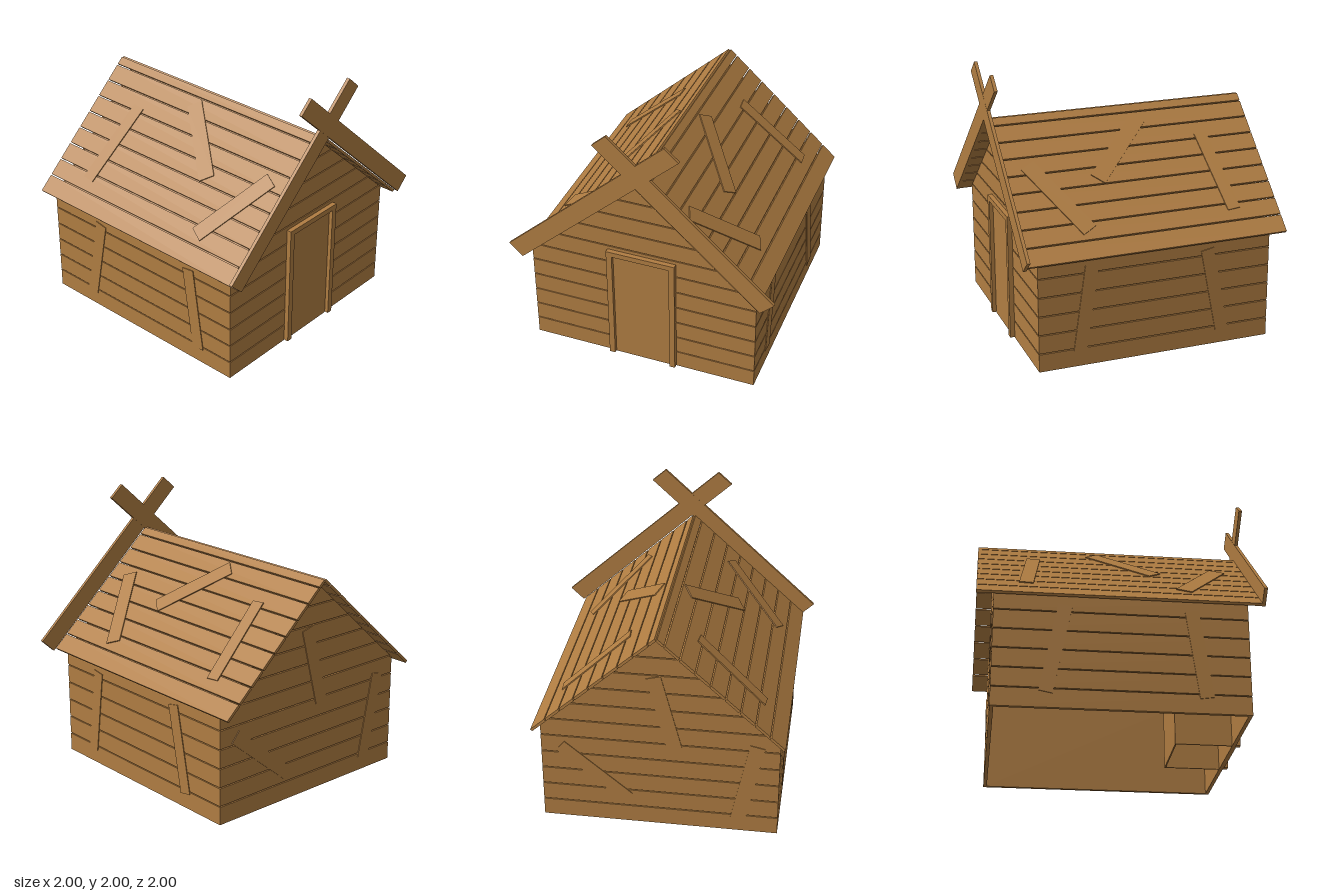
import * as THREE from 'three';

const wood = new THREE.MeshStandardMaterial({ color: 0xb07d42, side: THREE.DoubleSide });
wood.name = 'wood';

const SLOPE = 0.9056;              // roof rise per unit of run
const ANGLE = Math.atan(SLOPE);
const HALF = 0.86;                 // half width of the walls
const DEPTH = 0.88;                // half depth of the walls
const SKIN = 0.015;                // thickness of the wall planks
const ROW = 0.1413;                // height of one wall plank
const GAP = 0.008;

function add(parent, name, geometry, x = 0, y = 0, z = 0) {
  const mesh = new THREE.Mesh(geometry, wood);
  mesh.name = name;
  mesh.position.set(x, y, z);
  parent.add(mesh);
  return mesh;
}

// Box given by its lower and upper corner
function block(parent, name, a, b) {
  const size = b.map((v, i) => v - a[i]);
  const mid = b.map((v, i) => (v + a[i]) / 2);
  return add(parent, name, new THREE.BoxGeometry(...size), ...mid);
}

// Flat outline in x and y, thickened along z
function plate(parent, name, points, z, depth) {
  const shape = new THREE.Shape(points.map(p => new THREE.Vector2(...p)));
  return add(parent, name, new THREE.ExtrudeGeometry(shape, { depth, bevelEnabled: false }), 0, 0, z);
}

// Patch board nailed between two points of a face whose outside is local +z
function patch(parent, p, q, width, z) {
  const dx = q[0] - p[0], dy = q[1] - p[1];
  const geometry = new THREE.BoxGeometry(Math.hypot(dx, dy), width, 0.012);
  const mesh = add(parent, 'patchBoard', geometry, (p[0] + q[0]) / 2, (p[1] + q[1]) / 2, z);
  mesh.rotation.z = Math.atan2(dy, dx);
}

function faceGroup(parent, name, turn) {
  const group = new THREE.Group();
  group.name = name;
  group.rotation.y = turn;
  parent.add(group);
  return group;
}

function buildWalls(house) {
  const inner = HALF - SKIN, t = 0.012, apex = 1.6, eave = apex - inner * SLOPE;
  const outline = [[inner, 0], [inner, eave], [0, apex], [-inner, eave], [-inner, 0]];
  // Hollow shell, open underneath
  const inside = [[-inner + t, 0], [-inner + t, eave - 0.005], [0, apex - 0.017],
    [inner - t, eave - 0.005], [inner - t, 0]];
  plate(house, 'shell', [...outline, ...inside], -DEPTH + SKIN, 2 * (DEPTH - SKIN));
  for (const z of [-DEPTH + SKIN, DEPTH - SKIN - t]) plate(house, 'gableShell', outline, z, t);

  // Gable planks, front and back
  const halfAt = y => Math.max(0.002, Math.min(inner, (1.605 - y) / SLOPE));
  for (let y = 0; y < 1.6; y += ROW) {
    const top = Math.min(y + ROW - GAP, 1.603);
    const a = halfAt(y), b = halfAt(top);
    for (const z of [-DEPTH, DEPTH - SKIN])
      plate(house, 'gablePlank', [[-a, y], [a, y], [b, top], [-b, top]], z, SKIN);
  }

  // Side planks and their patch boards
  for (const side of [1, -1]) {
    const wall = faceGroup(house, side > 0 ? 'leftWall' : 'rightWall', side * Math.PI / 2);
    for (let i = 0; i < 6; i++)
      block(wall, 'sidePlank', [-DEPTH, i * ROW, inner],
        [DEPTH, Math.min((i + 1) * ROW - GAP, 0.828), HALF]);
    patch(wall, [-side * 0.485, 0.75], [-side * 0.575, 0.11], 0.1, HALF);
    patch(wall, [side * 0.39, 0.75], [side * 0.515, 0.11], 0.1, HALF);
  }

  // Patch boards of the back wall
  const back = faceGroup(house, 'backWall', Math.PI);
  patch(back, [-0.04, 1.25], [0.11, 0.67], 0.11, DEPTH);
  patch(back, [-0.72, 0.62], [-0.23, 0.21], 0.1, DEPTH);
  patch(back, [0.70, 0.74], [0.57, 0.1], 0.11, DEPTH);
}

function buildDoor(house) {
  const outer = 0.26, post = 0.217, top = 0.955, lintel = 0.915;
  block(house, 'door', [-post, 0, DEPTH - 0.01], [post, lintel, DEPTH + 0.006]);
  for (const s of [1, -1])
    block(house, 'doorPost', [Math.min(s * post, s * outer), 0.005, DEPTH - 0.01],
      [Math.max(s * post, s * outer), lintel, 0.915]);
  block(house, 'doorLintel', [-outer, lintel, DEPTH - 0.01], [outer, top, 0.915]);
  // Porch box behind the door, open underneath
  const z0 = 0.45, z1 = DEPTH - SKIN;
  for (const s of [1, -1]) {
    const x = s * (outer - 0.005);
    block(house, 'porchSide', [x - 0.005, 0, z0], [x + 0.005, lintel, z1]);
  }
  block(house, 'porchBack', [-outer, 0, z0 - 0.005], [outer, lintel, z0 + 0.005]);
  block(house, 'porchTop', [-outer, lintel - 0.01, z0], [outer, lintel, z1]);
}

function buildRoof(house) {
  const stretch = 1 / Math.cos(ANGLE);
  // Patch boards: run from the ridge and z at both ends
  const patches = [
    [[0.7275, -0.655], [0.24, -0.59], 0.1],
    [[0.102, -0.145], [0.45, 0.29], 0.12],
    [[0.74, 0.455], [0.32, 0.775], 0.12],
  ];
  for (const side of [1, -1]) {
    const half = faceGroup(house, side > 0 ? 'leftRoof' : 'rightRoof', side > 0 ? 0 : Math.PI);
    half.position.y = 1.635;
    const tilt = new THREE.Group();
    tilt.name = 'roofSlope';
    tilt.rotation.z = -ANGLE;
    half.add(tilt);
    // Planks run along the ridge
    for (let i = 0; i < 9; i++) {
      const from = (i === 0 ? 0.01 : 0.06 + (i - 1) * 0.105 + GAP / 2) * stretch;
      const to = (0.06 + i * 0.105 - (i < 8 ? GAP / 2 : 0)) * stretch;
      const z = [-1, 0.978].map(v => v * side).sort((a, b) => a - b);
      block(tilt, 'roofPlank', [from, -0.02, z[0]], [to, 0, z[1]]);
    }
    const face = new THREE.Group();
    face.name = 'roofPatches';
    face.rotation.x = -Math.PI / 2;
    tilt.add(face);
    for (const [p, q, w] of patches)
      patch(face, [p[0] * stretch, -side * p[1]], [q[0] * stretch, -side * q[1]], w, 0.002);
  }
}

export function createModel() {
  const model = new THREE.Group();
  model.name = 'woodenHut';
  const house = new THREE.Group();
  house.name = 'house';
  house.position.x = -0.02;
  model.add(house);
  buildWalls(house);
  buildDoor(house);
  buildRoof(house);

  // Crossed boards on the front gable
  for (const s of [1, -1])
    plate(model, 'crossedGableBoard',
      [[1, 0.9], [0.9, 0.805], [-0.31, 1.908], [-0.207, 2]].map(([x, y]) => [s * x, y]),
      s > 0 ? 0.976 : 0.975, s > 0 ? 0.024 : 0.0245);
  return model;
}
